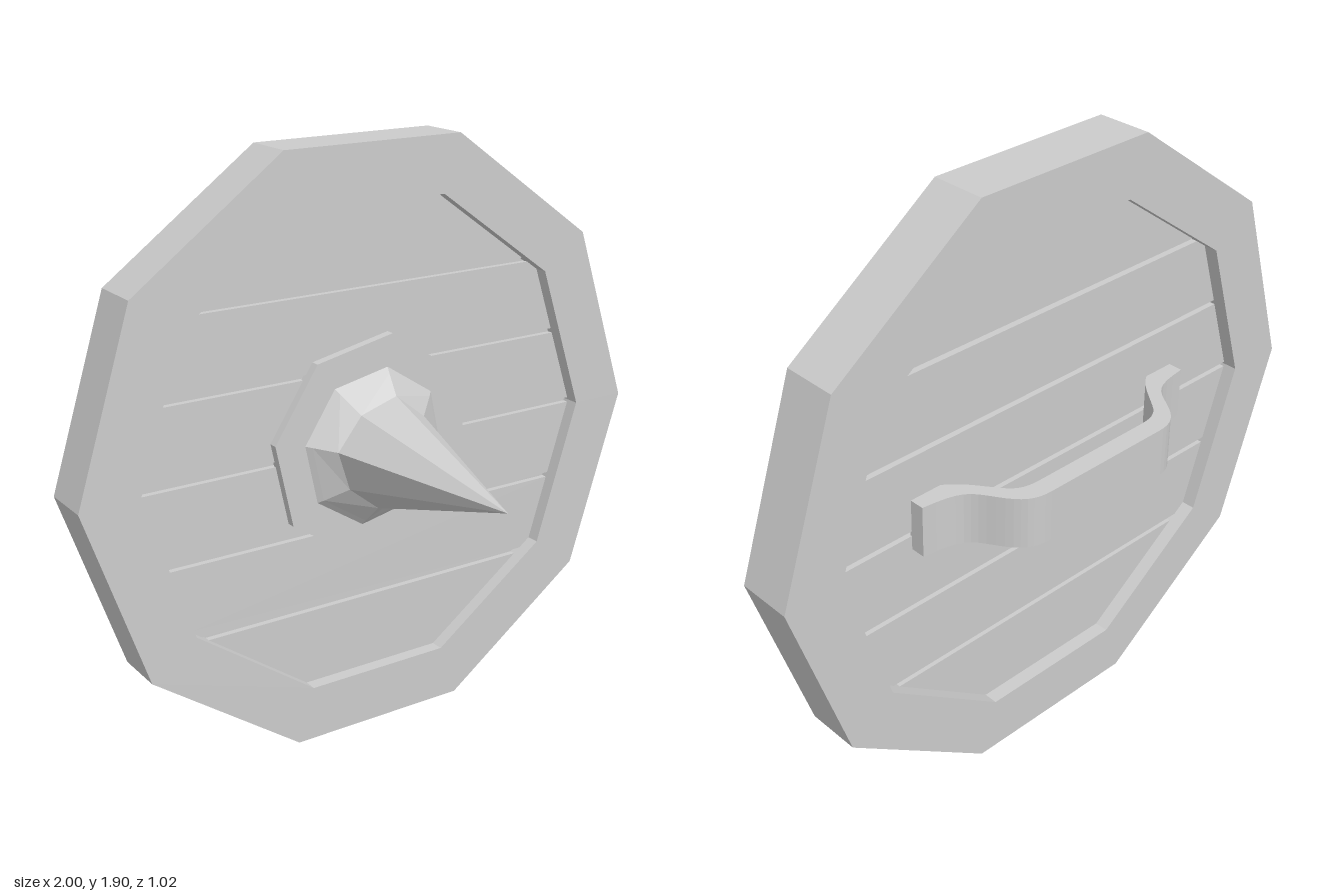
import * as THREE from 'three';

const CY = 0.953; // height of the shield centre
const OUTER = 1, INNER = 0.81;
const material = new THREE.MeshStandardMaterial({ color: 0xcccccc, flatShading: true });
const smooth = new THREE.MeshStandardMaterial({ color: 0xcccccc });

function polygon(radius, sides, turn = 0) {
  return Array.from({ length: sides }, (_, i) => {
    const a = turn + (i / sides) * Math.PI * 2;
    return new THREE.Vector2(Math.cos(a) * radius, Math.sin(a) * radius);
  });
}

// Extrude a flat outline between two z planes
function slab(shape, zBack, zFront) {
  const g = new THREE.ExtrudeGeometry(shape, { depth: zFront - zBack, bevelEnabled: false });
  return g.translate(0, CY, zBack);
}

// Half width of the inner decagon at a height from its centre
function halfWidth(y) {
  const a = Math.abs(y);
  const pts = [0, 36, 72].map((d) => THREE.MathUtils.degToRad(d))
    .map((t) => [Math.sin(t) * INNER, Math.cos(t) * INNER]);
  const [p, q] = a < pts[1][0] ? [pts[0], pts[1]] : [pts[1], pts[2]];
  return THREE.MathUtils.mapLinear(a, p[0], q[0], p[1], q[1]);
}

// Loft closed rings of points, ending in a single tip
function loft(rings, tip) {
  const n = rings[0].length;
  const pos = [...rings.flat(2), ...tip];
  const index = [];
  for (let r = 0; r < rings.length; r++) {
    for (let i = 0; i < n; i++) {
      const a = r * n + i, b = r * n + (i + 1) % n;
      if (r === rings.length - 1) index.push(a, b, rings.length * n);
      else index.push(a, b, b + n, a, b + n, a + n);
    }
  }
  const g = new THREE.BufferGeometry();
  g.setAttribute('position', new THREE.Float32BufferAttribute(pos, 3));
  g.setIndex(index);
  const flat = g.toNonIndexed();
  flat.computeVertexNormals();
  return flat;
}

export function createModel() {
  const model = new THREE.Group();
  const add = (name, geometry, parent = model, mat = material) => {
    const mesh = new THREE.Mesh(geometry, mat);
    mesh.name = name;
    parent.add(mesh);
  };

  // Ten-sided rim
  const rim = new THREE.Shape(polygon(OUTER, 10));
  rim.holes.push(new THREE.Path(polygon(INNER, 10)));
  add('rim', slab(rim, -0.33, -0.155));

  // Six planks with narrow grooves, over a thin backing core
  const planks = new THREE.Group();
  planks.name = 'planks';
  model.add(planks);
  const top = INNER * Math.sin(Math.PI * 0.4);
  const corner = INNER * Math.sin(Math.PI * 0.2);
  const seams = [-top, -0.513, -0.257, 0, 0.257, 0.513, top];
  for (let i = 0; i < 6; i++) {
    const y0 = seams[i] + (i > 0 ? 0.008 : 0);
    const y1 = seams[i + 1] - (i < 5 ? 0.008 : 0);
    const ys = [y0, ...[-corner, corner].filter((y) => y > y0 && y < y1), y1];
    const right = ys.map((y) => new THREE.Vector2(halfWidth(y), y));
    const left = right.map((p) => new THREE.Vector2(-p.x, p.y)).reverse();
    add('plank', slab(new THREE.Shape([...right, ...left]), -0.285, -0.2), planks);
  }
  add('plankCore', slab(new THREE.Shape(polygon(INNER, 10)), -0.265, -0.22));

  // Eight-sided boss plate
  const turn = THREE.MathUtils.degToRad(34);
  add('bossPlate', slab(new THREE.Shape(polygon(0.363, 8, turn)), -0.21, -0.17));

  // Spike: flared collar, then four main faces with a slight bulge
  const ring = (r, z, mid = r) => polygon(1, 8, turn)
    .map((p, i) => (i % 2 ? r : mid))
    .map((radius, i) => {
      const p = polygon(radius, 8, turn)[i];
      return [p.x, p.y + CY, z];
    });
  add('spike', loft([ring(0.257, -0.17), ring(0.24, -0.155), ring(0.181, -0.1, 0.167)], [0, CY, 0.51]));

  // Strap handle: arched profile with splayed feet, extruded upwards
  const s = new THREE.Shape();
  s.moveTo(-0.53, -0.28);
  s.lineTo(-0.53, -0.332);
  s.bezierCurveTo(-0.4, -0.345, -0.39, -0.365, -0.35, -0.43);
  s.bezierCurveTo(-0.31, -0.495, -0.28, -0.515, -0.22, -0.515);
  s.lineTo(0.22, -0.515);
  s.bezierCurveTo(0.28, -0.515, 0.31, -0.495, 0.35, -0.43);
  s.bezierCurveTo(0.39, -0.365, 0.4, -0.345, 0.53, -0.332);
  s.lineTo(0.53, -0.28);
  s.lineTo(0.43, -0.28);
  s.bezierCurveTo(0.37, -0.32, 0.36, -0.345, 0.31, -0.41);
  s.bezierCurveTo(0.28, -0.45, 0.25, -0.455, 0.2, -0.455);
  s.lineTo(-0.2, -0.455);
  s.bezierCurveTo(-0.25, -0.455, -0.28, -0.45, -0.31, -0.41);
  s.bezierCurveTo(-0.36, -0.345, -0.37, -0.32, -0.43, -0.28);
  const strap = new THREE.ExtrudeGeometry(s, { depth: 0.165, bevelEnabled: false, curveSegments: 8 });
  strap.rotateX(Math.PI / 2).translate(0, 1.065, 0);
  add('handle', strap, model, smooth);

  return model;
}
